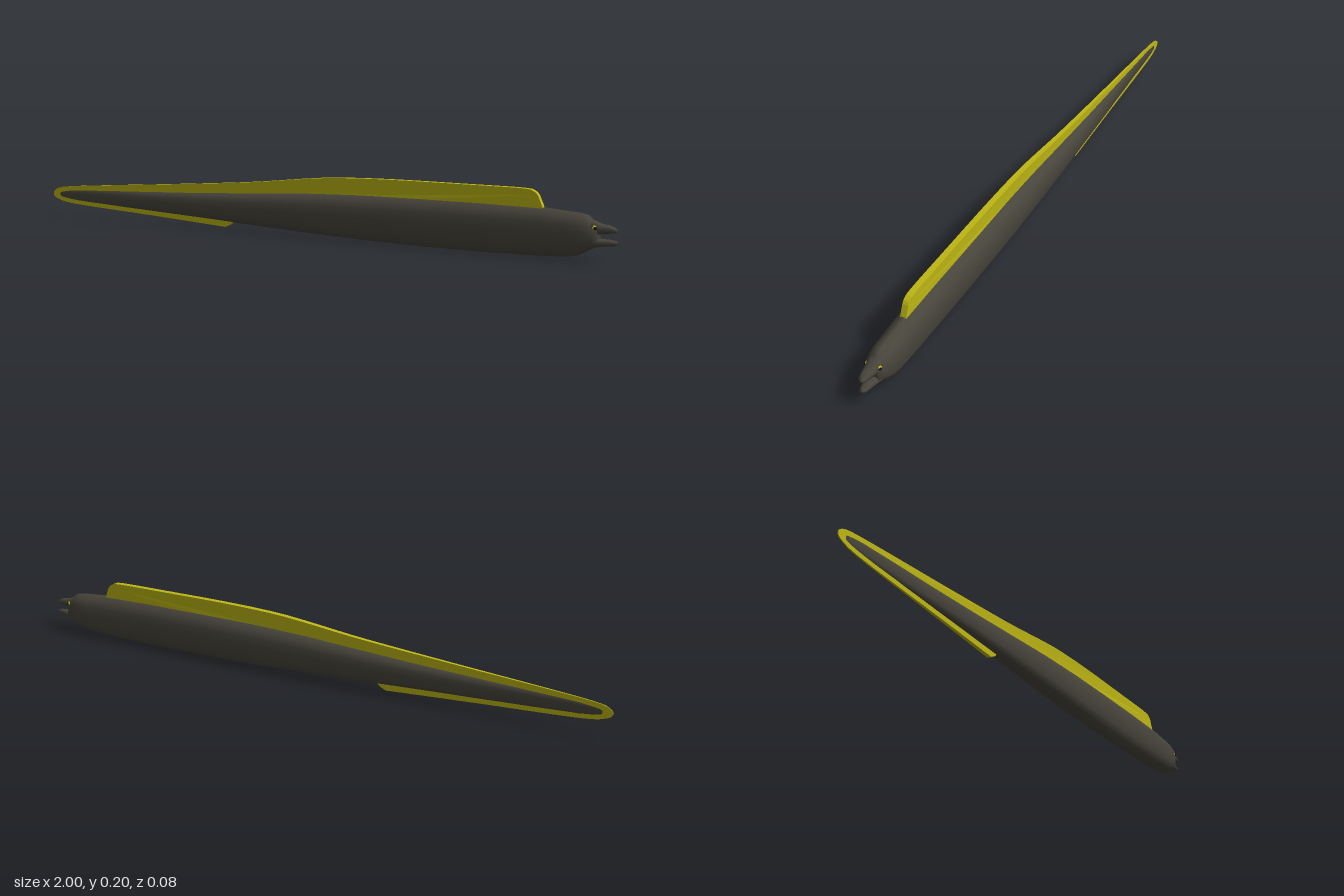
import * as THREE from 'three';

const skin = new THREE.MeshStandardMaterial({ color: 0x47443b, side: THREE.DoubleSide });
const finMat = new THREE.MeshStandardMaterial({ color: 0xbdb614, side: THREE.DoubleSide });
const pupilMat = new THREE.MeshStandardMaterial({ color: 0x111111 });

// Half section from top to bottom: [width 0..1, height 0..1]
const flank = [[0.16, 1], [0.68, 0.9], [1, 0.73], [1, 0.5], [1, 0.27], [0.68, 0.1], [0.16, 0]];
const round = [[0.3, 1], [0.75, 0.88], [1, 0.55], [0.8, 0.2], [0.3, 0]];

// Body stations: [x, top, bottom, half width]
const bodyStations = [
  [-0.98, 0.08, 0.076, 0.001], [-0.965, 0.09, 0.064, 0.002], [-0.9, 0.097, 0.057, 0.004],
  [-0.75, 0.103, 0.05, 0.009], [-0.6, 0.108, 0.043, 0.015], [-0.4, 0.116, 0.034, 0.023],
  [-0.2, 0.127, 0.024, 0.03], [0, 0.139, 0.014, 0.035], [0.2, 0.146, 0.006, 0.038],
  [0.4, 0.149, 0.002, 0.038], [0.6, 0.149, 0.001, 0.038], [0.78, 0.146, 0.004, 0.038],
  [0.86, 0.139, 0.009, 0.037], [0.89, 0.137, 0.015, 0.035], [0.915, 0.132, 0.028, 0.031],
  [0.93, 0.118, 0.037, 0.026], [0.945, 0.108, 0.045, 0.021],
];

// Skin a closed tube over the stations, with capped ends
function loft(name, stations, half, material) {
  const ring = [...half, ...half.map(([w, h]) => [-w, h]).reverse()];
  const n = ring.length, pos = [], index = [];
  for (const [x, top, bottom, width] of stations)
    for (const [w, h] of ring) pos.push(x, bottom + (top - bottom) * h, w * width);
  for (let s = 0; s < stations.length - 1; s++)
    for (let i = 0; i < n; i++) {
      const a = s * n + i, b = s * n + (i + 1) % n;
      index.push(a, a + n, b, b, a + n, b + n);
    }
  const last = (stations.length - 1) * n;
  for (let i = 1; i < n - 1; i++) index.push(0, i, i + 1, last, last + i + 1, last + i);
  const geo = new THREE.BufferGeometry();
  geo.setAttribute('position', new THREE.Float32BufferAttribute(pos, 3));
  geo.setIndex(index);
  geo.computeVertexNormals();
  const mesh = new THREE.Mesh(geo, material);
  mesh.name = name;
  return mesh;
}

// One continuous fin along the back, around the tail and under the belly
function makeFin() {
  const shape = new THREE.Shape();
  shape.moveTo(0.785, 0.14);
  shape.lineTo(0.768, 0.18);
  shape.splineThru([[0.755, 0.192], [0.72, 0.199], [0.55, 0.2], [0.3, 0.2], [0.12, 0.195],
    [0, 0.185], [-0.2, 0.163], [-0.5, 0.139], [-0.8, 0.117], [-0.94, 0.105], [-0.985, 0.095],
    [-1, 0.077], [-0.98, 0.06], [-0.9, 0.046], [-0.6, 0.029], [-0.4, 0.017], [-0.29, 0.01],
  ].map(p => new THREE.Vector2(...p)));
  shape.lineTo(-0.27, 0.02);
  shape.lineTo(-0.25, 0.04);
  // Inner edge, hidden along the body's midline
  for (const [x, y] of [[-0.5, 0.06], [-0.8, 0.075], [-0.95, 0.077], [-0.8, 0.08], [-0.5, 0.09],
    [-0.2, 0.1], [0, 0.11], [0.3, 0.125], [0.6, 0.13]]) shape.lineTo(x, y);
  const geo = new THREE.ExtrudeGeometry(shape, { depth: 2, bevelEnabled: false, curveSegments: 4 });
  geo.translate(0, 0, -1);
  // Thin the fin toward the tail
  const p = geo.attributes.position;
  for (let i = 0; i < p.count; i++) {
    const t = THREE.MathUtils.clamp((p.getX(i) + 1) / 1.1, 0, 1);
    p.setZ(i, p.getZ(i) * (0.0015 + 0.008 * t));
  }
  geo.computeVertexNormals();
  const mesh = new THREE.Mesh(geo, finMat);
  mesh.name = 'fin';
  return mesh;
}

export function createModel() {
  const model = new THREE.Group();
  model.name = 'eel';
  model.add(loft('body', bodyStations, flank, skin), makeFin());

  // Parted jaws
  model.add(loft('upperJaw', [
    [0.9, 0.128, 0.078, 0.026], [0.935, 0.117, 0.078, 0.024], [0.955, 0.109, 0.081, 0.02],
    [0.975, 0.107, 0.084, 0.016], [0.99, 0.102, 0.086, 0.012], [0.998, 0.096, 0.089, 0.006],
  ], round, skin));
  model.add(loft('lowerJaw', [
    [0.9, 0.07, 0.03, 0.026], [0.935, 0.068, 0.041, 0.023], [0.955, 0.066, 0.045, 0.019],
    [0.975, 0.066, 0.047, 0.015], [0.992, 0.064, 0.049, 0.011], [1, 0.061, 0.053, 0.006],
  ], round, skin));

  // Eyes: yellow ball with a dark pupil
  for (const side of [1, -1]) {
    const eye = new THREE.Group();
    eye.name = side > 0 ? 'rightEye' : 'leftEye';
    const ball = new THREE.Mesh(new THREE.SphereGeometry(0.008, 16, 12), finMat);
    ball.name = 'eyeball';
    const pupil = new THREE.Mesh(new THREE.SphereGeometry(0.0055, 12, 8), pupilMat);
    pupil.name = 'pupil';
    pupil.position.set(0.002, 0, side * 0.0035);
    eye.add(ball, pupil);
    eye.position.set(0.937, 0.099, side * 0.018);
    model.add(eye);
  }
  return model;
}
